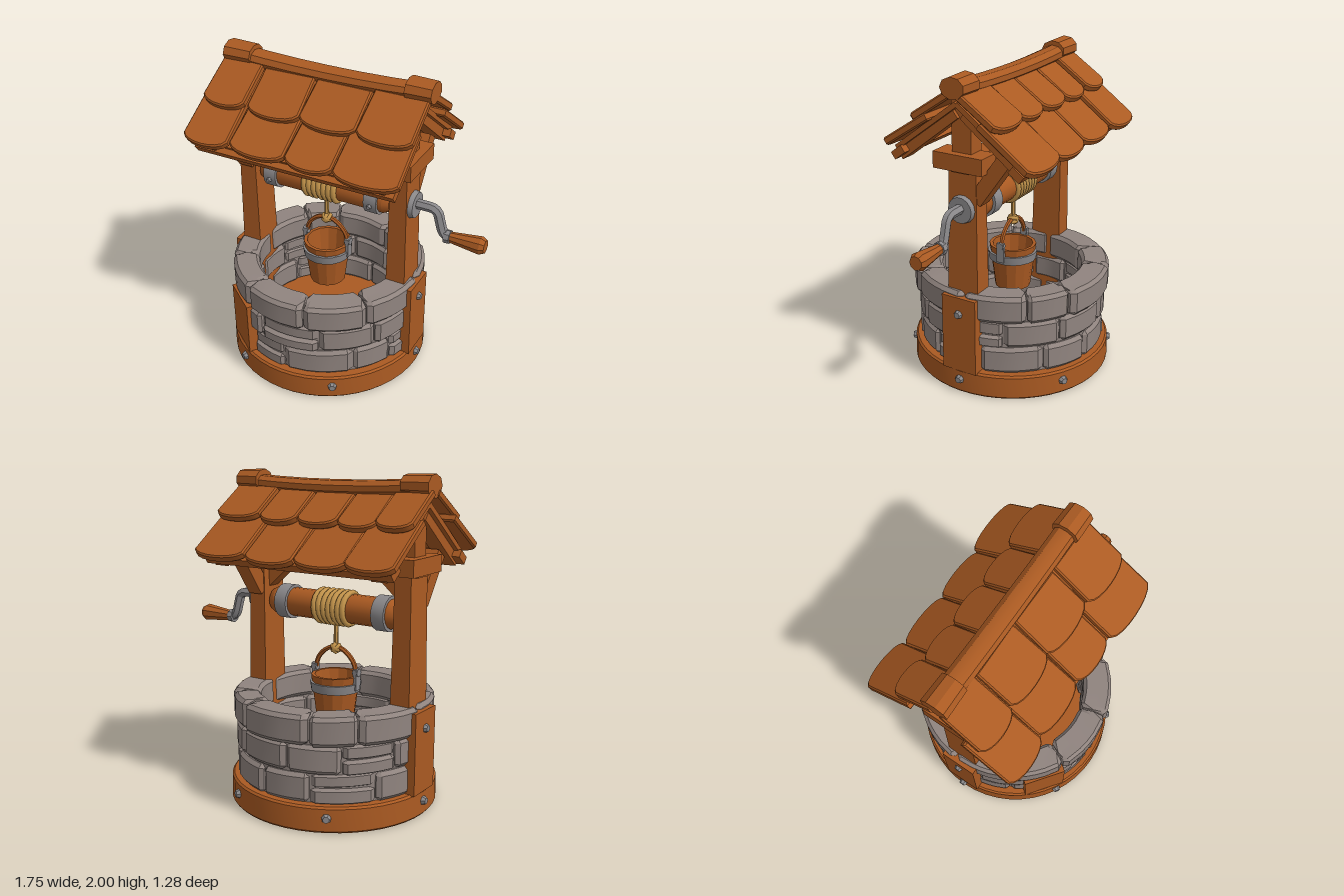
import * as THREE from 'three';
import { toCreasedNormals } from 'three/addons/utils/BufferGeometryUtils.js';

const CX = -0.17; // axis of the well shaft
const mat = (name, color) => Object.assign(new THREE.MeshStandardMaterial({ color }), { name });

export function createModel() {
  const wood = mat('wood', 0xaa5a22);
  const stone = mat('stone', 0x90847f);
  const metal = mat('metal', 0x8b898b);
  const rope = mat('rope', 0xc6964c);
  const root = new THREE.Group();
  root.name = 'well';

  let seed = 7;
  const rnd = () => (seed = (seed * 16807) % 2147483647) / 2147483647 - 0.5;

  const add = (name, geo, material, x = 0, y = 0, z = 0, parent = root, crease = 0.55) => {
    const m = new THREE.Mesh(toCreasedNormals(geo, crease), material);
    m.name = name;
    m.position.set(x, y, z);
    parent.add(m);
    return m;
  };
  const group = (name, x = 0, y = 0, z = 0, parent = root) => {
    const g = new THREE.Group();
    g.name = name;
    g.position.set(x, y, z);
    parent.add(g);
    return g;
  };
  const box = (name, w, h, d, x, y, z, parent) => add(name, new THREE.BoxGeometry(w, h, d), wood, x, y, z, parent);
  // cylinder lying along x
  const rod = (name, r0, r1, len, sides, material, x, y, z, parent) =>
    add(name, new THREE.CylinderGeometry(r1, r0, len, sides).rotateZ(-Math.PI / 2), material, x, y, z, parent);
  // plank running between two (z, y) points at a given x
  const plank = (name, x, w, t, z0, y0, z1, y1, parent) => {
    const m = box(name, w, t, Math.hypot(z1 - z0, y1 - y0), x, (y0 + y1) / 2, (z0 + z1) / 2, parent);
    m.rotation.x = -Math.atan2(y1 - y0, z1 - z0);
    return m;
  };
  // bolt head facing outward at an angle round the shaft
  const bolt = (a, r, y) => {
    const m = add('bolt', new THREE.CylinderGeometry(0.02, 0.032, 0.03, 7).rotateX(Math.PI / 2), metal,
      CX + r * Math.sin(a), y, r * Math.cos(a));
    m.rotation.y = a;
  };

  // Base disc with six bolts
  const base = [[0, 0], [0.63, 0], [0.64, 0.012], [0.637, 0.145], [0.625, 0.157], [0, 0.157]];
  add('base', new THREE.LatheGeometry(base.map(p => new THREE.Vector2(...p)), 48), wood, CX);
  for (let i = 0; i < 6; i++) bolt(Math.PI / 2 + i * Math.PI / 3, 0.645, 0.09);

  // Stone wall: a plain core faced with bent, chamfered blocks
  const core = [[0.48, 0.15], [0.575, 0.15], [0.575, 0.65], [0.48, 0.65], [0.48, 0.15]];
  add('wallCore', new THREE.LatheGeometry(core.map(p => new THREE.Vector2(...p)), 40), stone, CX);
  const wall = group('stoneWall', CX);
  const block = (a0, a1, y0, y1, rIn, rOut) => {
    const g = new THREE.BoxGeometry(1, 1, 1, 6, 3, 2);
    const p = g.attributes.position;
    const tilt = rnd() * 0.02;
    for (let i = 0; i < p.count; i++) {
      let u = p.getX(i), v = p.getY(i);
      const w = p.getZ(i);
      const edge = (Math.abs(u) > 0.49) + (Math.abs(v) > 0.49);
      if (Math.abs(v) < 0.3) v *= 2.2;
      if (Math.abs(u) > 0.3 && Math.abs(u) < 0.4) u *= 1.26;
      if (Math.abs(w) > 0.4 && edge === 2) { u *= 0.95; v *= 0.9; }
      const r = rIn + (rOut - rIn) * (w + 0.5) - Math.sign(w) * edge * 0.02;
      const a = a0 + (a1 - a0) * (u + 0.5);
      p.setXYZ(i, r * Math.sin(a), y0 + (y1 - y0) * (v + 0.5) + tilt * u, r * Math.cos(a));
    }
    add('stone', g, stone, 0, 0, 0, wall, 0.4);
  };
  const rows = [[0.155, 0.335, 11, 0.1, 0.6], [0.335, 0.51, 11, 0.38, 0.605], [0.505, 0.685, 10, 0.28, 0.622]];
  rows.forEach(([y0, y1, n, start, r], row) => {
    const cuts = Array.from({ length: n }, (_, i) => start + (i + rnd() * 0.35) * 2 * Math.PI / n);
    cuts.push(cuts[0] + 2 * Math.PI);
    for (let i = 0; i < n; i++) {
      const a0 = cuts[i] + 0.008, a1 = cuts[i + 1] - 0.008, out = r + rnd() * 0.015;
      if (row < 2 && i % 4 === 2) { // some places hold two thin stones
        const mid = (y0 + y1) / 2 + rnd() * 0.04;
        block(a0, a1, y0, mid - 0.004, 0.465, out);
        block(a0, a1, mid + 0.004, y1 - 0.004, 0.465, out - 0.01);
      } else block(a0, a1, y0, y1 - 0.006, 0.45, out);
    }
  });

  // Board patching the wall
  const patch = box('wallBoard', 0.27, 0.36, 0.06, CX - 0.36, 0.33, 0.47);
  patch.rotation.y = -0.65;

  // Posts, their lower facings and roof braces
  for (const s of [1, -1]) {
    const x = CX + s * 0.522;
    const post = new THREE.BoxGeometry(0.14, 1.32, 0.22);
    const p = post.attributes.position;
    for (let i = 0; i < p.count; i++) if (p.getY(i) > 0) p.setXYZ(i, p.getX(i) * 0.75, p.getY(i), p.getZ(i) * 0.85);
    add('post', post, wood, x, 0.81, 0);
    box('postFacing', 0.13, 0.5, 0.235, CX + s * 0.575, 0.4, 0);
    bolt(s * Math.PI / 2, 0.645, 0.54);
    box('crossBeam', 0.15, 0.1, 0.33, x + s * 0.03, 1.49, 0);
    box('kingPost', 0.11, 0.38, 0.13, x, 1.7, 0);
    // side brace towards one eave, and a corner brace under the long beam
    plank('eaveBrace', x, 0.1, 0.09, -s * 0.08, 1.26, -s * 0.27, 1.53);
    const tri = new THREE.Shape([[0, 0], [0, 0.17], [-s * 0.18, 0.17], [-s * 0.15, 0.13]].map(q => new THREE.Vector2(...q)));
    add('cornerBrace', new THREE.ExtrudeGeometry(tri, { depth: 0.09, bevelEnabled: false }), wood, x - s * 0.045, 1.27, -0.045);
  }
  box('longBeam', 1.2, 0.08, 0.12, CX, 1.465, 0);

  // Roof: each side has a panel, rafters, an eave board and two rows of tiles
  const tile = (name, parent, x0, x1, z0, y0, z1, y1) => {
    const L = Math.hypot(z1 - z0, y1 - y0), h = (x1 - x0) / 2 - 0.012;
    const s = new THREE.Shape();
    s.moveTo(-h * 0.97, 0);
    s.lineTo(-h, -L + 0.06);
    s.bezierCurveTo(-h * 0.8, -L - 0.005, h * 0.8, -L - 0.005, h, -L + 0.06);
    s.lineTo(h * 0.97, 0);
    const g = new THREE.ExtrudeGeometry(s, {
      depth: 0.03, bevelSize: 0.009, bevelThickness: 0.009, bevelSegments: 1, curveSegments: 8,
    });
    const m = add(name, g, wood, (x0 + x1) / 2, y0, z0, parent);
    m.rotation.set(Math.atan2(y0 - y1, z1 - z0) - Math.PI / 2, 0, rnd() * 0.03);
  };
  const sides = [
    { name: 'frontRoof', turn: 0, endZ: 0.475, endY: 1.515,
      upper: [-0.68, -0.39, -0.04, 0.33, 0.68], lower: [-0.71, -0.4, -0.03, 0.28, 0.69] },
    { name: 'backRoof', turn: Math.PI, endZ: 0.495, endY: 1.47,
      upper: [-0.69, -0.37, -0.1, 0.18, 0.44, 0.68], lower: [-0.69, -0.315, 0.03, 0.38, 0.7] },
  ];
  for (const { name, turn, endZ, endY, upper, lower } of sides) {
    const roof = group(name, CX, 0, 0, root);
    roof.rotation.y = turn;
    const row = (cuts, label, z0, y0, z1, y1) => {
      for (let i = 0; i + 1 < cuts.length; i++) {
        const end = i === 0 || i + 2 === cuts.length ? 0.018 : 0;
        tile(label, roof, cuts[i], cuts[i + 1], z0, y0 + end + rnd() * 0.01, z1 + end, y1 + end * 0.6 + rnd() * 0.01);
      }
    };
    row(lower, 'lowerTile', 0.17, 1.715, endZ, endY);
    row(upper, 'upperTile', 0.03, 1.86, 0.285, 1.685);
    plank('roofPanel', 0, 1.26, 0.03, 0, 1.835, 0.42, 1.52, roof);
    plank('eaveBoard', 0, 1.3, 0.05, 0.36, 1.525, 0.43, 1.472, roof);
    for (const s of [1, -1]) plank('rafter', s * 0.55, 0.1, 0.075, 0.03, 1.775, 0.42, 1.472, roof);
  }

  // Sagging ridge log with thicker ends
  const ridge = new THREE.CylinderGeometry(0.064, 0.07, 1.2, 9, 6).rotateZ(-Math.PI / 2);
  const rp = ridge.attributes.position;
  for (let i = 0; i < rp.count; i++) rp.setY(i, rp.getY(i) * 0.75 - 0.02 * (1 - (rp.getX(i) / 0.6) ** 2));
  add('ridge', ridge, wood, CX, 1.925, -0.015);
  for (const [x, w] of [[-0.745, 0.18], [0.435, 0.16]]) {
    const cap = rod('ridgeCap', 0.085, 0.08, w, 9, wood, x, 1.935, -0.012);
    cap.scale.y = 0.8;
  }

  // Windlass: drum, metal bands, rope coils
  const drum = group('windlass', 0, 1.19, 0);
  rod('drum', 0.09, 0.09, 0.82, 14, wood, -0.17, 0, 0, drum);
  for (const s of [1, -1]) rod('drumEnd', s > 0 ? 0.09 : 0.07, s > 0 ? 0.07 : 0.09, 0.04, 14, wood, -0.17 + s * 0.43, 0, 0, drum);
  rod('axle', 0.045, 0.045, 1.1, 10, wood, -0.17, 0, 0, drum);
  for (const x of [-0.53, 0.17]) {
    rod('drumBand', 0.108, 0.108, 0.085, 16, metal, x, 0, 0, drum);
    add('bandBolt', new THREE.CylinderGeometry(0.012, 0.018, 0.025, 6).rotateX(Math.PI / 2), metal, x, -0.02, 0.112, drum);
  }
  for (let i = 0; i < 7; i++) {
    const coil = add('ropeCoil', new THREE.TorusGeometry(0.097, 0.018, 6, 18).rotateY(Math.PI / 2), rope, -0.285 + i * 0.034, 0, 0, drum, 1.2);
    coil.rotation.z = rnd() * 0.18;
  }
  add('hangingRope', new THREE.CylinderGeometry(0.015, 0.015, 0.2, 7), rope, -0.18, 1.04, 0);
  const knot = group('knot', -0.18, 0.935, 0);
  for (const t of [0.5, -0.6, 1.5]) {
    add('knotLoop', new THREE.TorusGeometry(0.026, 0.014, 6, 10), rope, 0, 0, 0, knot, 1.2).rotation.set(Math.PI / 2 + t * 0.6, t, 0);
  }

  // Bucket with band, lugs and bail
  const bucket = group('bucket', -0.18, 0, 0);
  const pail = [[0, 0.48], [0.115, 0.48], [0.152, 0.772], [0.13, 0.772], [0.1, 0.51], [0, 0.51]];
  add('pail', new THREE.LatheGeometry(pail.map(q => new THREE.Vector2(...q)), 14), wood, 0, 0, 0, bucket, 0.3);
  const band = [[0.14, 0.672], [0.152, 0.672], [0.16, 0.728], [0.14, 0.728]];
  add('pailBand', new THREE.LatheGeometry(band.map(q => new THREE.Vector2(...q)), 18), metal, 0, 0, 0, bucket);
  const bail = [[-0.15, 0.79], [-0.125, 0.865], [-0.06, 0.925], [0, 0.94], [0.06, 0.925], [0.125, 0.865], [0.15, 0.79]];
  const bailCurve = new THREE.CatmullRomCurve3(bail.map(([x, y]) => new THREE.Vector3(x, y, 0)));
  add('bail', new THREE.TubeGeometry(bailCurve, 18, 0.015, 6), wood, 0, 0, 0, bucket, 0.9);
  for (const s of [1, -1]) {
    add('lug', new THREE.BoxGeometry(0.022, 0.13, 0.05), metal, s * 0.152, 0.755, 0, bucket);
    rod('lugPin', 0.025, 0.025, 0.035, 8, metal, s * 0.152, 0.8, 0, bucket);
  }

  // Crank
  const crank = group('crank', 0, 0, 0);
  rod('crankPlate', 0.088, 0.08, 0.035, 14, metal, 0.42, 1.2, 0, crank);
  const path = [[0.42, 1.21], [0.535, 1.21], [0.57, 1.19], [0.6, 1.08], [0.62, 1.045], [0.67, 1.04]];
  const arm = new THREE.CurvePath();
  const pts = path.map(([x, y]) => new THREE.Vector3(x, y, 0));
  for (let i = 0; i + 1 < pts.length; i++) arm.add(new THREE.LineCurve3(pts[i], pts[i + 1]));
  add('crankArm', new THREE.TubeGeometry(arm, 24, 0.031, 6), metal, 0, 0, 0, crank, 0.5);
  rod('crankCollar', 0.042, 0.042, 0.035, 8, metal, 0.64, 1.04, 0, crank);
  rod('crankGrip', 0.034, 0.056, 0.19, 9, wood, 0.755, 1.04, 0, crank);
  rod('gripEnd', 0.056, 0.042, 0.028, 9, wood, 0.864, 1.04, 0, crank);

  return root;
}
